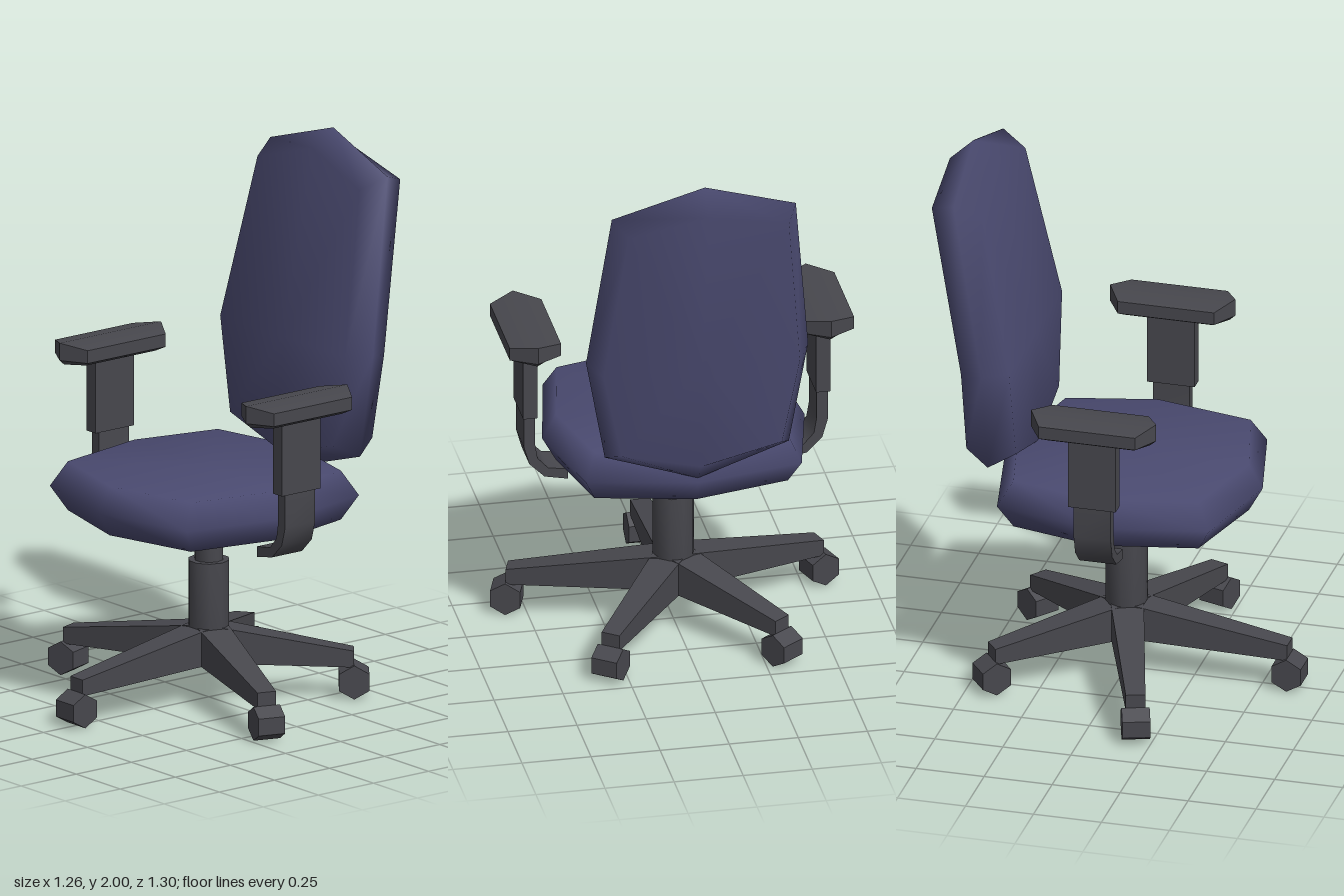
import * as THREE from 'three';
import { toCreasedNormals } from 'three/addons/utils/BufferGeometryUtils.js';

const fabric = new THREE.MeshStandardMaterial({ color: 0x4a4a70 });
const plastic = new THREE.MeshStandardMaterial({ color: 0x47474d });

function part(name, geometry, material, parent) {
  const mesh = new THREE.Mesh(geometry, material);
  mesh.name = name;
  parent.add(mesh);
  return mesh;
}

// Closed pad from half outlines (x >= 0, mirrored), each end capped by a fan
function pad(halfRings, startCentre, endCentre) {
  const rings = halfRings.map((half) => [
    ...half,
    ...half.slice(1, -1).reverse().map(([x, y, z]) => [-x, y, z]),
  ]);
  const n = rings[0].length;
  const last = (rings.length - 1) * n;
  const first = rings.length * n;
  const index = [];
  for (let i = 0; i < n; i++) {
    const j = (i + 1) % n;
    index.push(first, i, j, first + 1, last + j, last + i);
    for (let r = 0; r < last; r += n) {
      index.push(r + i, r + n + i, r + n + j, r + i, r + n + j, r + j);
    }
  }
  const g = new THREE.BufferGeometry();
  const points = [...rings.flat(), startCentre, endCentre].flat();
  g.setAttribute('position', new THREE.Float32BufferAttribute(points, 3));
  g.setIndex(index);
  g.computeVertexNormals();
  return g;
}

// Tapered star-base leg running along +z
function legGeometry(length) {
  const g = new THREE.BoxGeometry(1, 1, 1);
  const p = g.attributes.position;
  for (let i = 0; i < p.count; i++) {
    const outer = p.getZ(i) > 0;
    const top = p.getY(i) > 0;
    const y = outer ? (top ? 0.175 : 0.115) : (top ? 0.275 : 0.14);
    p.setXYZ(i, Math.sign(p.getX(i)) * (outer ? 0.035 : 0.06), y, outer ? length : 0.02);
  }
  g.computeVertexNormals();
  return g;
}

function createBase() {
  const base = new THREE.Group();
  base.name = 'base';

  // Hub and gas lift
  const profile = [
    [0, 0.12], [0.045, 0.12], [0.06, 0.16], [0.075, 0.27], [0.075, 0.51],
    [0.052, 0.51], [0.052, 0.69], [0, 0.69],
  ].map(([x, y]) => new THREE.Vector2(x, y));
  const column = new THREE.LatheGeometry(profile, 10, Math.PI / 2);
  part('column', toCreasedNormals(column, 0.7), plastic, base);

  // Legs with hexagonal casters; the rear pair is a little shorter
  const legs = [[0, 0.6], [1.25, 0.595], [-1.25, 0.595], [2.495, 0.515], [-2.495, 0.515]];
  for (const [angle, length] of legs) {
    const leg = new THREE.Group();
    leg.name = 'leg';
    leg.rotation.y = angle;
    base.add(leg);
    part('legArm', legGeometry(length), plastic, leg);
    const wheel = new THREE.CylinderGeometry(0.062, 0.062, 0.1, 6);
    wheel.rotateY(Math.PI / 6).rotateZ(Math.PI / 2);
    part('caster', toCreasedNormals(wheel, 0.5), plastic, leg).position.set(0, 0.063, length);
  }
  return base;
}

function createArmrest(side) {
  const arm = new THREE.Group();
  arm.name = side > 0 ? 'leftArmrest' : 'rightArmrest';
  arm.position.set(side * 0.53, 0, 0.024);
  arm.rotation.y = side > 0 ? 0 : Math.PI;

  // Six-sided arm pad with a shallow ridge along the top
  const ring = (x, z, endY, sideY) => [
    [0, endY, z], [x, sideY, z - 0.053], [x, sideY, 0.053 - z], [0, endY, -z],
  ];
  const top = pad(
    [ring(0.093, 0.23, 1.232, 1.215), ring(0.093, 0.23, 1.168, 1.168), ring(0.06, 0.21, 1.15, 1.15)],
    [0, 1.232, 0], [0, 1.15, 0],
  );
  part('armPad', toCreasedNormals(top, 0.7), plastic, arm);

  // Upright sleeve
  part('armPost', new THREE.BoxGeometry(0.052, 0.28, 0.175), plastic, arm).position.y = 1.02;

  // Bracket curving in beneath the seat
  const bracket = new THREE.Shape([
    [0.02, 0.9], [-0.02, 0.9], [-0.02, 0.77], [-0.03, 0.71], [-0.068, 0.668], [-0.14, 0.657],
    [-0.14, 0.618], [-0.055, 0.635], [0, 0.69], [0.02, 0.76],
  ].map(([x, y]) => new THREE.Vector2(x, y)));
  const g = new THREE.ExtrudeGeometry(bracket, { depth: 0.136, bevelEnabled: false });
  g.translate(0, 0, -0.068);
  part('armBracket', toCreasedNormals(g, 0.9), plastic, arm);
  return arm;
}

export function createModel() {
  const chair = new THREE.Group();
  chair.name = 'officeChair';
  chair.add(createBase());

  // Seat cushion: rings from top to bottom
  const seatRing = (y, inset) => [
    [0, y, 0.5 - inset], [0.39 - inset * 0.8, y, 0.41 - inset], [0.475 - inset, y, 0],
    [0.39 - inset * 0.8, y, inset - 0.37], [0, y, inset - 0.45],
  ];
  part('seat', pad(
    [seatRing(0.855, 0.05), seatRing(0.765, 0), seatRing(0.675, 0.05)],
    [0, 0.855, 0], [0, 0.675, 0],
  ), fabric, chair);

  // Backrest: rings from front to back, bent backwards above the middle
  part('backrest', pad([
    [[0, 0.85, -0.325], [0.29, 0.93, -0.328], [0.355, 1.27, -0.335], [0.29, 1.85, -0.452], [0, 1.94, -0.47]],
    [[0, 0.78, -0.44], [0.333, 0.885, -0.42], [0.402, 1.27, -0.425], [0.333, 1.895, -0.545], [0, 2, -0.565]],
    [[0, 0.86, -0.51], [0.29, 0.93, -0.51], [0.355, 1.25, -0.512], [0.29, 1.86, -0.637], [0, 1.92, -0.65]],
  ], [0, 1.27, -0.335], [0, 1.25, -0.512]), fabric, chair);

  for (const side of [1, -1]) chair.add(createArmrest(side));
  return chair;
}
